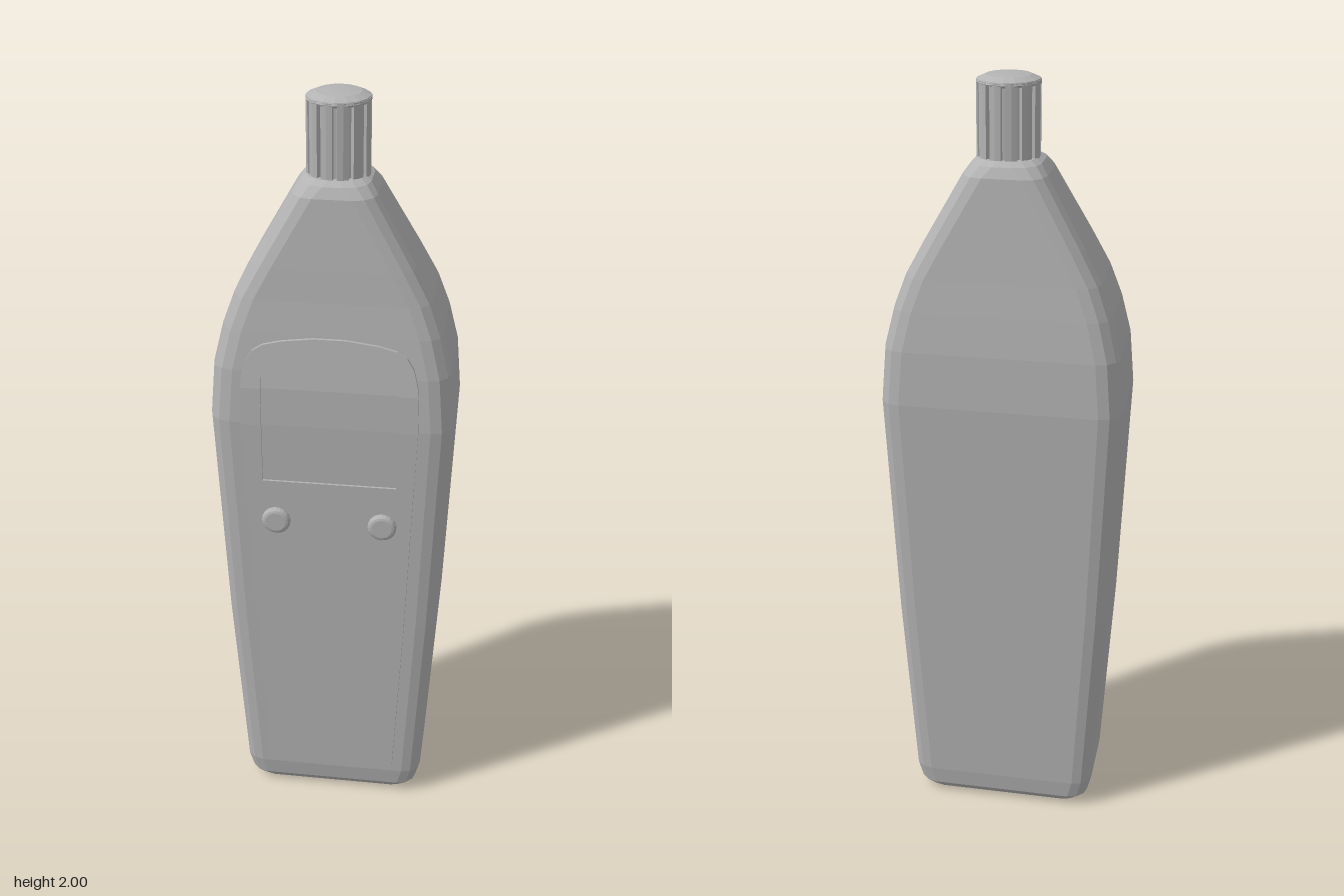
import * as THREE from 'three';

const casing = new THREE.MeshStandardMaterial({ color: 0xb3b3b3, flatShading: true });
casing.name = 'casing grey';

// Skin a stack of equal-length rings (bottom to top, each anticlockwise from above) and cap both ends
function loft(rings) {
  const n = rings[0].length, pos = [], idx = [];
  rings.forEach(r => r.forEach(p => pos.push(...p)));
  for (let i = 0; i < rings.length - 1; i++) {
    for (let j = 0; j < n; j++) {
      const a = i * n + j, b = i * n + (j + 1) % n;
      idx.push(a, b, b + n, a, b + n, a + n);
    }
  }
  const top = (rings.length - 1) * n;
  for (let j = 1; j < n - 1; j++) {
    idx.push(0, j + 1, j);
    idx.push(top, top + j, top + j + 1);
  }
  const indexed = new THREE.BufferGeometry();
  indexed.setAttribute('position', new THREE.Float32BufferAttribute(pos, 3));
  indexed.setIndex(idx);
  const g = indexed.toNonIndexed();
  g.computeVertexNormals();
  return g;
}

// Rounded rectangle at height y, half width w, from zBack to zFront
function roundedRing(y, w, zBack, zFront, r) {
  const ring = [], steps = 3;
  const corners = [[w - r, zBack + r, 0], [-w + r, zBack + r, 1], [-w + r, zFront - r, 2], [w - r, zFront - r, 3]];
  for (const [cx, cz, q] of corners) {
    for (let s = 0; s <= steps; s++) {
      const a = (q + s / steps) * Math.PI / 2;
      ring.push([cx + r * Math.cos(a), y, cz - r * Math.sin(a)]);
    }
  }
  return ring;
}

// Height of the panel face in front of the body
const face = [[0.1, 0.146], [0.6, 0.157], [1.2, 0.17], [1.3, 0.167], [1.44, 0.15]];
function faceZ(y) {
  let i = 0;
  while (i < face.length - 2 && y > face[i + 1][0]) i++;
  const t = (y - face[i][0]) / (face[i + 1][0] - face[i][0]);
  return face[i][1] + t * (face[i + 1][1] - face[i][1]);
}

// Thin slab following the panel face; rows are [y, left x, right x]
function slab(rows, sink = 0) {
  return loft(rows.map(([y, a, b]) => {
    const f = faceZ(y) - sink, k = f - 0.035;
    return [[b, y, k], [a, y, k], [a, y, f], [b, y, f]];
  }));
}

export function createModel() {
  const model = new THREE.Group();
  const add = (name, geo, parent = model) => {
    const m = new THREE.Mesh(geo, casing);
    m.name = name;
    parent.add(m);
    return m;
  };

  // Tapered body: y, half width, back z, front z, corner radius
  add('body', loft([
    [0, 0.19, -0.095, 0.085, 0.035], [0.008, 0.215, -0.12, 0.105, 0.045],
    [0.03, 0.238, -0.137, 0.12, 0.05], [0.08, 0.25, -0.143, 0.127, 0.05],
    [0.6, 0.282, -0.16, 0.143, 0.053], [1.2, 0.307, -0.178, 0.16, 0.055],
    [1.34, 0.296, -0.172, 0.153, 0.055], [1.44, 0.272, -0.161, 0.142, 0.055],
    [1.52, 0.243, -0.15, 0.131, 0.055], [1.6, 0.2, -0.14, 0.123, 0.055],
    [1.77, 0.103, -0.119, 0.104, 0.055], [1.795, 0.085, -0.106, 0.09, 0.06],
    [1.805, 0.07, -0.09, 0.072, 0.055],
  ].map(s => roundedRing(...s))));

  // Front panel, framing a slightly sunken screen
  const panel = new THREE.Group();
  panel.name = 'frontPanel';
  model.add(panel);
  const sx = 0.17;
  add('panelLower', slab([
    [0.1, -0.165, 0.165], [0.115, -0.174, 0.174], [0.6, -0.198, 0.198], [1.04, -0.215, 0.215],
  ]), panel);
  const side = [[1.04, 0.215], [1.2, 0.222], [1.3, 0.221], [1.33, 0.217]];
  add('panelLeftRail', slab(side.map(([y, x]) => [y, sx, x])), panel);
  add('panelRightRail', slab(side.map(([y, x]) => [y, -x, -sx])), panel);
  add('panelUpper', slab([
    [1.33, 0.217], [1.37, 0.207], [1.397, 0.19], [1.413, 0.165], [1.424, 0.12], [1.434, 0.04],
  ].map(([y, x]) => [y, -x, x])), panel);
  add('screen', slab([[1.04, -sx, sx], [1.2, -sx, sx], [1.3, -sx, sx], [1.33, -sx, sx]], 0.006), panel);

  // Two round push buttons
  for (const x of [-0.137, 0.137]) {
    const button = add(x > 0 ? 'leftButton' : 'rightButton', new THREE.LatheGeometry([
      [0.037, -0.02], [0.037, 0.008], [0.032, 0.014], [0.026, 0.016], [0, 0.016],
    ].map(p => new THREE.Vector2(...p)), 20));
    button.rotation.x = Math.PI / 2;
    button.position.set(x, 0.925, 0.163);
  }

  // Fluted sensor tip with a shallow domed cap
  const tip = new THREE.Group();
  tip.name = 'sensorTip';
  tip.position.set(0.002, 0, -0.008);
  model.add(tip);
  const outline = [], ribs = 12;
  for (let i = 0; i < ribs; i++) {
    for (const [t, r] of [[0.1, 0.066], [0.14, 0.077], [0.5, 0.078], [0.86, 0.077], [0.9, 0.066]]) {
      const a = (i + t) / ribs * Math.PI * 2;
      outline.push(new THREE.Vector2(r * Math.cos(a), r * Math.sin(a)));
    }
  }
  const fluted = new THREE.ExtrudeGeometry(new THREE.Shape(outline), { depth: 0.19, bevelEnabled: false });
  fluted.rotateX(-Math.PI / 2).translate(0, 1.795, 0);
  add('flutedGrip', fluted, tip);
  add('domedCap', new THREE.LatheGeometry([
    [0, 1.975], [0.076, 1.975], [0.079, 1.98], [0.076, 1.987], [0.055, 1.996], [0.028, 1.999], [0, 2],
  ].map(p => new THREE.Vector2(...p)), 16), tip);

  return model;
}
